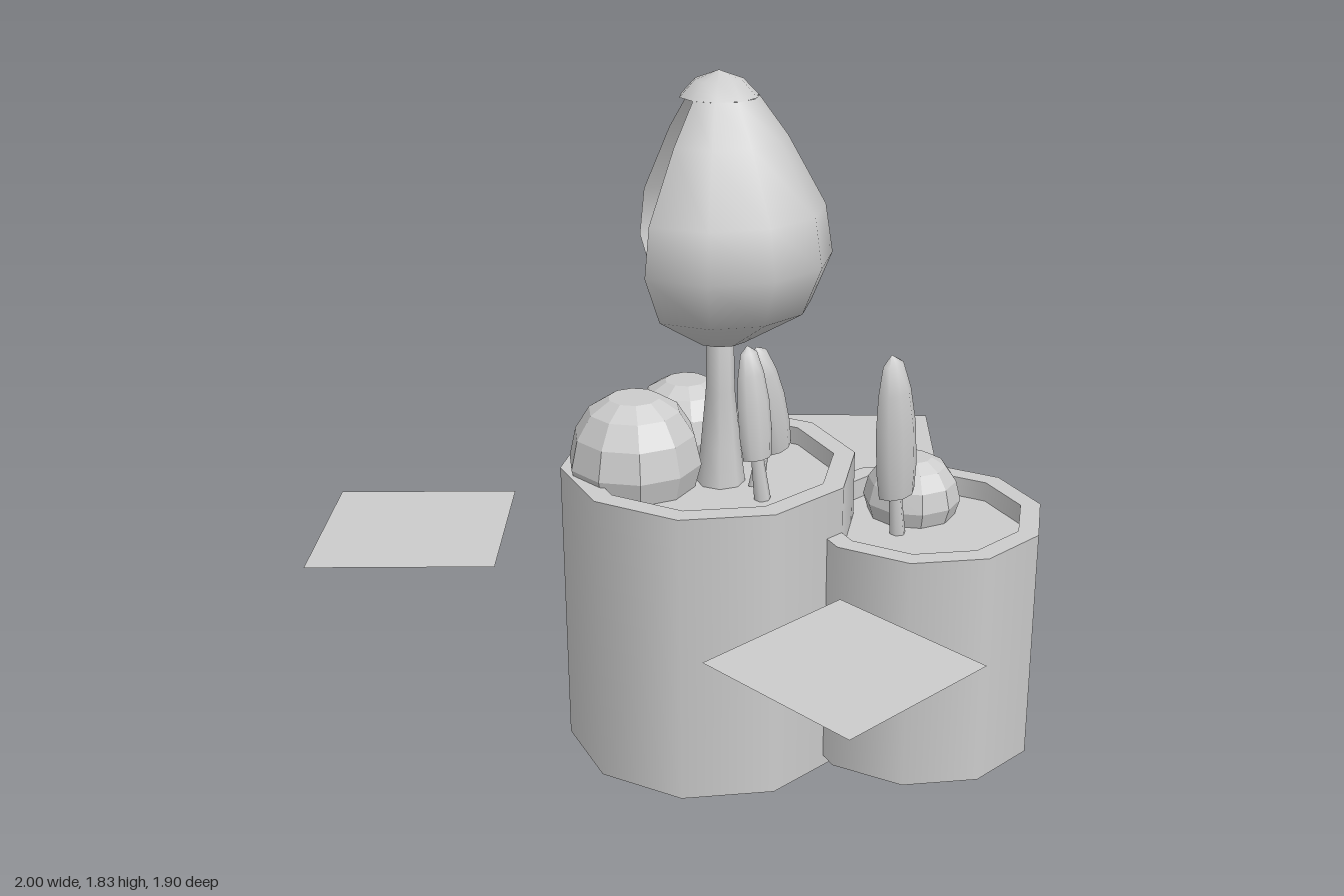
import * as THREE from 'three';

const smooth = new THREE.MeshStandardMaterial({ color: 0xcccccc, side: THREE.DoubleSide });
const faceted = new THREE.MeshStandardMaterial({ color: 0xcccccc, side: THREE.DoubleSide, flatShading: true });

const rad = THREE.MathUtils.degToRad;
const points = list => list.map(([r, y]) => new THREE.Vector2(r, y));

function addMesh(parent, name, geometry, material = smooth) {
  const mesh = new THREE.Mesh(geometry, material);
  mesh.name = name;
  parent.add(mesh);
  return mesh;
}

// Ten-sided pot, open underneath, with a thick rim and a sunken soil disc
function makePot(name, x, z, bottom, top, radius, inner, soil) {
  const pot = new THREE.Group();
  pot.name = name;
  pot.position.set(x, 0, z);
  const wall = (r, y0, y1) =>
    new THREE.CylinderGeometry(r, r, y1 - y0, 10, 1, true, Math.PI / 2).translate(0, (y0 + y1) / 2, 0);
  addMesh(pot, 'outerWall', wall(radius, bottom, top));
  addMesh(pot, 'innerWall', wall(inner, soil, top));
  addMesh(pot, 'rim', new THREE.RingGeometry(inner, radius, 10).rotateX(-Math.PI / 2).translate(0, top, 0));
  addMesh(pot, 'soil', new THREE.CircleGeometry(inner, 10).rotateX(-Math.PI / 2).translate(0, soil, 0));
  return pot;
}

// Rounded, flat-topped dome
function makeDome(name, x, y, z, radius, height) {
  const profile = points([[0.9, 0], [1, 0.27], [0.9, 0.6], [0.68, 0.86], [0.38, 1], [0, 1]]);
  const mesh = new THREE.Mesh(new THREE.LatheGeometry(profile, 10).scale(radius, height, radius), faceted);
  mesh.name = name;
  mesh.position.set(x, y, z);
  return mesh;
}

// Half-tube leaf running from base to tip, on a thin stalk rooted in the soil
function makeLeaf(name, base, tip, width, root) {
  const leaf = new THREE.Group();
  leaf.name = name;
  const a = new THREE.Vector3(...base), b = new THREE.Vector3(...tip), c = new THREE.Vector3(...root);
  const up = new THREE.Vector3(0, 1, 0);
  const axis = b.clone().sub(a);
  const profile = points([[0.88, 0], [1, 0.2], [0.98, 0.5], [0.8, 0.75], [0.5, 0.94], [0, 1]]);
  const blade = addMesh(leaf, 'blade',
    new THREE.LatheGeometry(profile, 5, -Math.PI / 2, Math.PI).scale(width, axis.length(), width * 0.85));
  blade.position.copy(a);
  blade.quaternion.setFromUnitVectors(up, axis.clone().normalize());

  const end = a.clone().lerp(b, 0.3);
  const span = end.clone().sub(c);
  const stalk = addMesh(leaf, 'stalk', new THREE.CylinderGeometry(0.012, 0.022, span.length(), 6, 1, true));
  stalk.position.copy(c).add(end).multiplyScalar(0.5);
  stalk.quaternion.setFromUnitVectors(up, span.normalize());
  return leaf;
}

// Large bud: a shell split open at the back, a closed tip and a flared stem
function makeBud() {
  const bud = new THREE.Group();
  bud.name = 'bud';
  bud.position.set(-0.093, 0, 0.01);
  const start = rad(-82), sweep = rad(266);
  const shell = points([[0, 1.125], [0.07, 1.14], [0.235, 1.24], [0.287, 1.365], [0.268, 1.49],
    [0.172, 1.665], [0.1, 1.765]]);
  addMesh(bud, 'shell', new THREE.LatheGeometry(shell, 8, start, sweep));
  addMesh(bud, 'tip', new THREE.LatheGeometry(points([[0.1, 1.765], [0.062, 1.805], [0, 1.828]]), 10, start));
  const stem = points([[0.065, 0.74], [0.052, 0.85], [0.038, 1.0], [0.034, 1.21], [0, 1.21]]);
  addMesh(bud, 'stem', new THREE.LatheGeometry(stem, 8));
  return bud;
}

export function createModel() {
  const model = new THREE.Group();
  model.name = 'pottedPlants';

  model.add(makePot('largePot', -0.102, -0.025, 0, 0.795, 0.393, 0.335, 0.745));
  model.add(makePot('smallPot', 0.27, 0.4, 0.03, 0.67, 0.325, 0.27, 0.615));

  model.add(makeBud());

  model.add(makeDome('largeDome', -0.265, 0.745, -0.135, 0.178, 0.24));
  model.add(makeDome('mediumDome', 0.02, 0.745, -0.25, 0.155, 0.188));
  model.add(makeDome('smallDome', 0.345, 0.615, 0.3, 0.132, 0.16));

  model.add(makeLeaf('rightLeaf', [-0.115, 0.865, 0.165], [-0.122, 1.16, 0.14], 0.05, [-0.1, 0.745, 0.175]));
  model.add(makeLeaf('middleLeaf', [0.03, 0.83, 0.085], [-0.042, 1.125, 0.09], 0.056, [-0.06, 0.745, 0.11]));
  model.add(makeLeaf('leftLeaf', [0.2, 0.735, 0.362], [0.162, 1.125, 0.372], 0.066, [0.21, 0.615, 0.37]));

  // Loose flat squares around the pots: x, z, side, turn
  const squares = [[-0.655, -0.607, 0.492, -43], [0.667, -0.203, 0.465, -45], [-0.362, 0.715, 0.464, 0]];
  squares.forEach(([x, z, side, turn], i) => {
    const card = addMesh(model, `flatSquare${i + 1}`, new THREE.PlaneGeometry(side, side).rotateX(-Math.PI / 2));
    card.position.set(x, 0.58, z);
    card.rotation.y = rad(turn);
  });

  return model;
}
